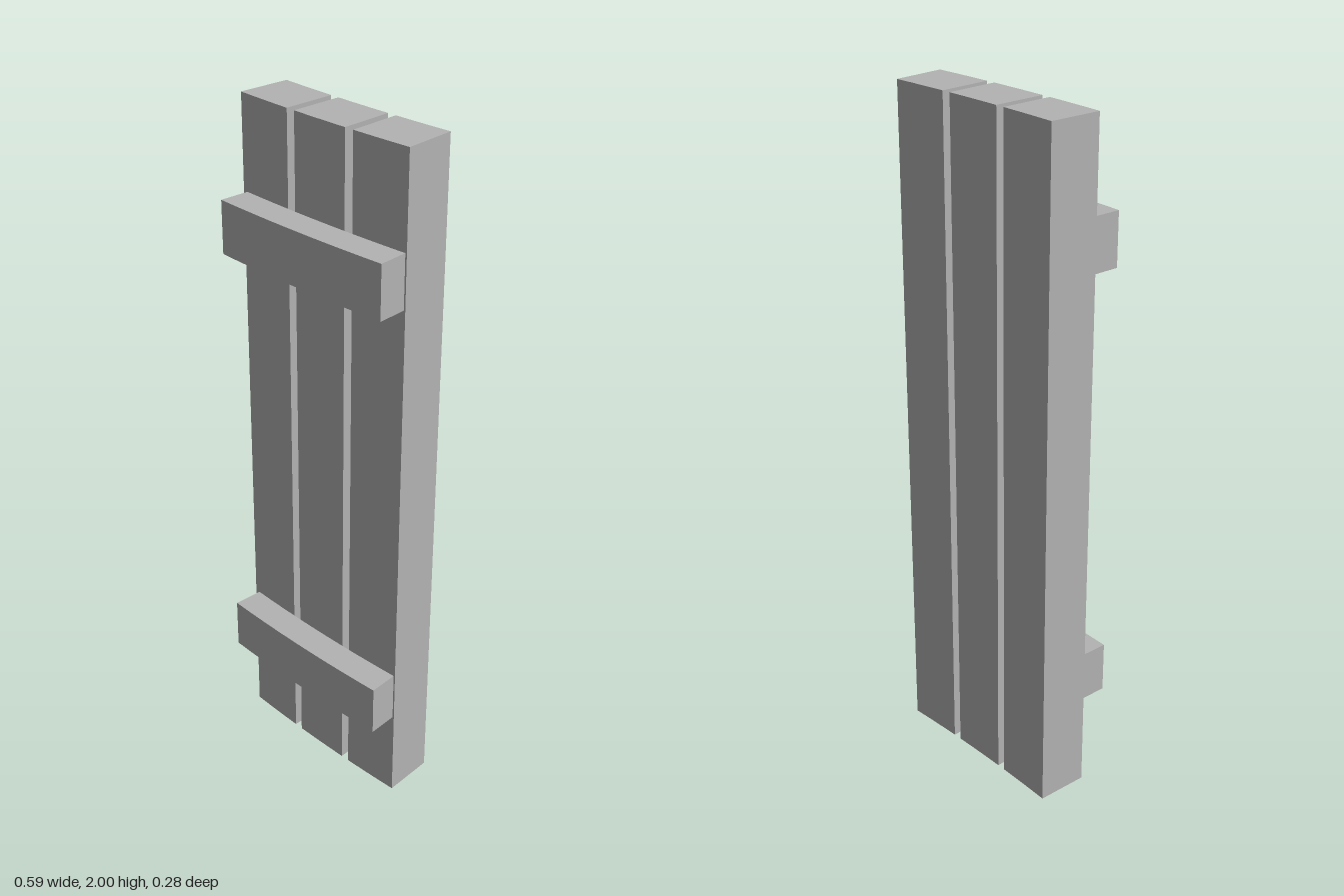
import * as THREE from 'three';

// All parts follow arcs around one distant vertical axis behind the model
const AXIS_X = 0.38;
const FRONT_R = 5.4;
const AXIS_Z = 0.0527 - FRONT_R;
const PLANK_DEPTH = 0.152;
const BATTEN_DEPTH = 0.088;

// Block with a ring-sector footprint, standing from y0 to y0 + height
function curvedBlock(name, rIn, rOut, a0, a1, y0, height, steps, material) {
  const points = [];
  const add = (r, a) => points.push(new THREE.Vector2(
    AXIS_X + r * Math.sin(a), -(AXIS_Z + r * Math.cos(a))));
  for (let i = 0; i <= steps; i++) add(rOut, a0 + (a1 - a0) * i / steps);
  for (let i = steps; i >= 0; i--) add(rIn, a0 + (a1 - a0) * i / steps);
  const geometry = new THREE.ExtrudeGeometry(new THREE.Shape(points), {
    depth: height, bevelEnabled: false,
  });
  geometry.rotateX(-Math.PI / 2);
  geometry.translate(0, y0, 0);
  const mesh = new THREE.Mesh(geometry, material);
  mesh.name = name;
  return mesh;
}

export function createModel() {
  const group = new THREE.Group();
  group.name = 'curvedPlankPanel';
  const grey = new THREE.MeshStandardMaterial({ color: 0xb3b3b3 });
  grey.name = 'plain grey';

  // Three upright planks with narrow gaps
  ['rightPlank', 'middlePlank', 'leftPlank'].forEach((name, i) => {
    const a = -0.1256 + i * 0.0383;
    group.add(curvedBlock(name, FRONT_R - PLANK_DEPTH, FRONT_R, a, a + 0.0333, 0, 2, 3, grey));
  });

  // Two curved battens across the front
  [['lowerBatten', 0.275], ['upperBatten', 1.58]].forEach(([name, y]) => {
    group.add(curvedBlock(name, FRONT_R, FRONT_R + BATTEN_DEPTH, -0.1229, -0.0166, y, 0.153, 9, grey));
  });

  return group;
}
